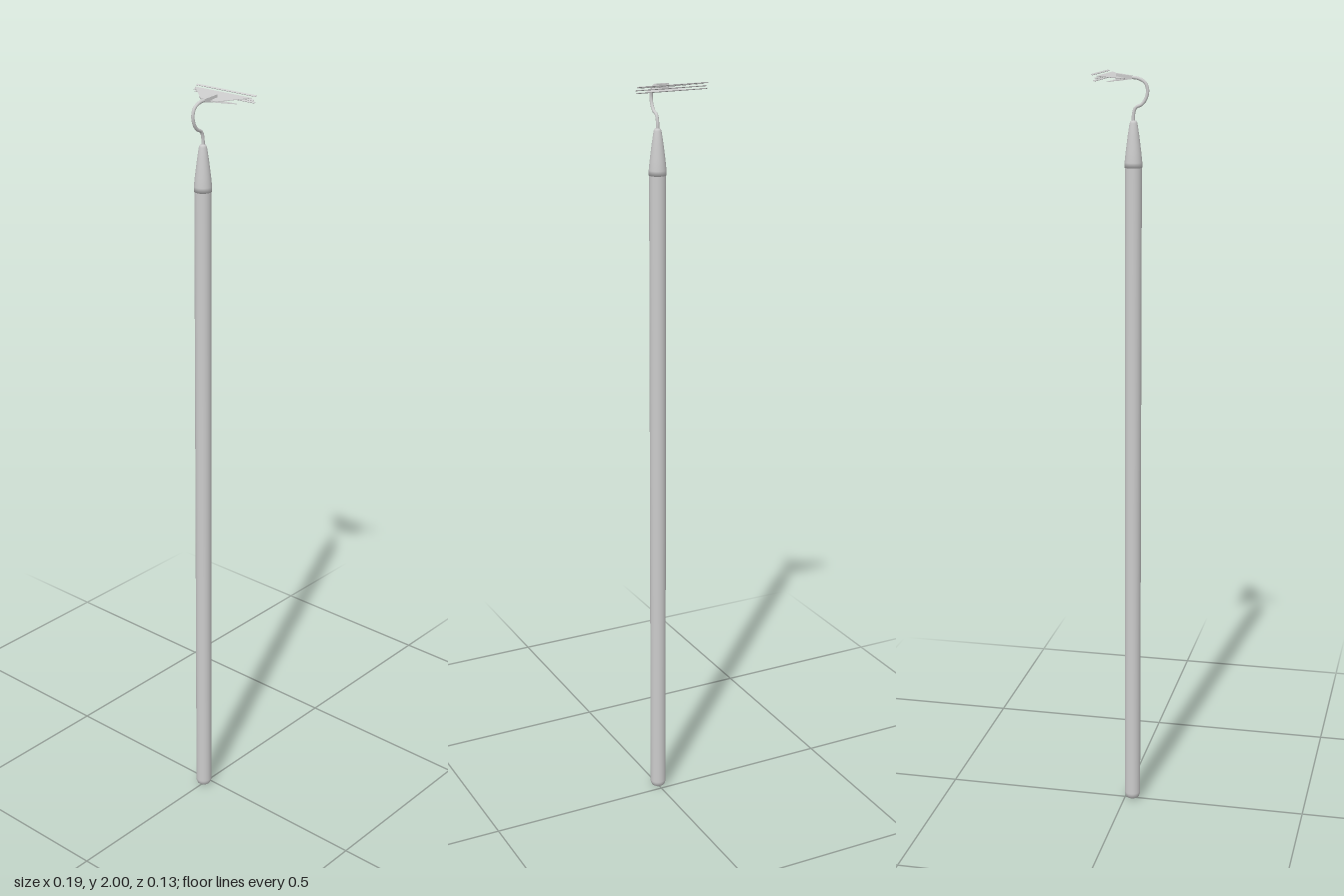
import * as THREE from 'three';

export function createModel() {
  const model = new THREE.Group();
  const grey = new THREE.MeshStandardMaterial({ color: 0xcccccc, side: THREE.DoubleSide });
  const add = (name, geometry, x = 0, y = 0, z = 0) => {
    const mesh = new THREE.Mesh(geometry, grey);
    mesh.name = name;
    mesh.position.set(x, y, z);
    model.add(mesh);
    return mesh;
  };
  const lathe = (points) => new THREE.LatheGeometry(points.map((p) => new THREE.Vector2(...p)), 32);
  const axisZ = 0.021;

  // long round handle with a softened foot
  add('handle', lathe([[0, 0], [0.011, 0.001], [0.018, 0.006], [0.0215, 0.015],
    [0.0215, 0.02], [0.0215, 1.765], [0.02, 1.77], [0, 1.77]]), 0, 0, axisZ);

  // tapered ferrule
  add('ferrule', lathe([[0, 1.762], [0.0225, 1.762], [0.0225, 1.775], [0.02, 1.8],
    [0.015, 1.84], [0.01, 1.873], [0.007, 1.879], [0, 1.88]]), 0, 0, axisZ);

  // hooked wire neck
  const path = new THREE.CatmullRomCurve3([
    [1.86, 0.021], [1.895, 0.021], [1.912, 0.027], [1.92, 0.042], [1.935, 0.053],
    [1.955, 0.057], [1.973, 0.051], [1.983, 0.035], [1.986, 0.015], [1.986, 0.0],
  ].map(([y, z]) => new THREE.Vector3(0, y, z)));
  add('neck', new THREE.TubeGeometry(path, 60, 0.0042, 12));

  // socket flaring from the wire to the blade
  const socket = new THREE.CylinderGeometry(0.0135, 0.006, 0.04, 4, 1);
  socket.rotateY(Math.PI / 4).rotateX(-Math.PI / 2);
  const flatSocket = socket.toNonIndexed();
  flatSocket.computeVertexNormals();
  add('socket', flatSocket, 0, 1.986, -0.002);

  // thin trapezoid plates spreading towards the back
  const plate = (name, frontY, backY, backZ, backHalf) => {
    const outline = new THREE.Shape([[-0.025, 0], [0.025, 0], [backHalf, -backZ], [-backHalf, -backZ]]
      .map((p) => new THREE.Vector2(...p)));
    const geometry = new THREE.ExtrudeGeometry(outline, { depth: 0.0015, bevelEnabled: false });
    geometry.rotateX(-Math.PI / 2);
    const mesh = add(name, geometry, 0, frontY, 0);
    mesh.rotation.x = Math.atan2(backY - frontY, -backZ);
  };
  plate('upperPlate', 1.983, 1.993, -0.054, 0.092);
  plate('lowerPlate', 1.981, 1.977, -0.034, 0.062);

  // narrow slanted edge strips along the back
  [[1.988, -0.055], [1.982, -0.059], [1.997, -0.064]].forEach(([y, z], i) => {
    const strip = add('edgeStrip' + (i + 1), new THREE.BoxGeometry(0.192, 0.0012, 0.005), 0, y, z);
    strip.rotation.x = 0.5;
  });

  return model;
}
